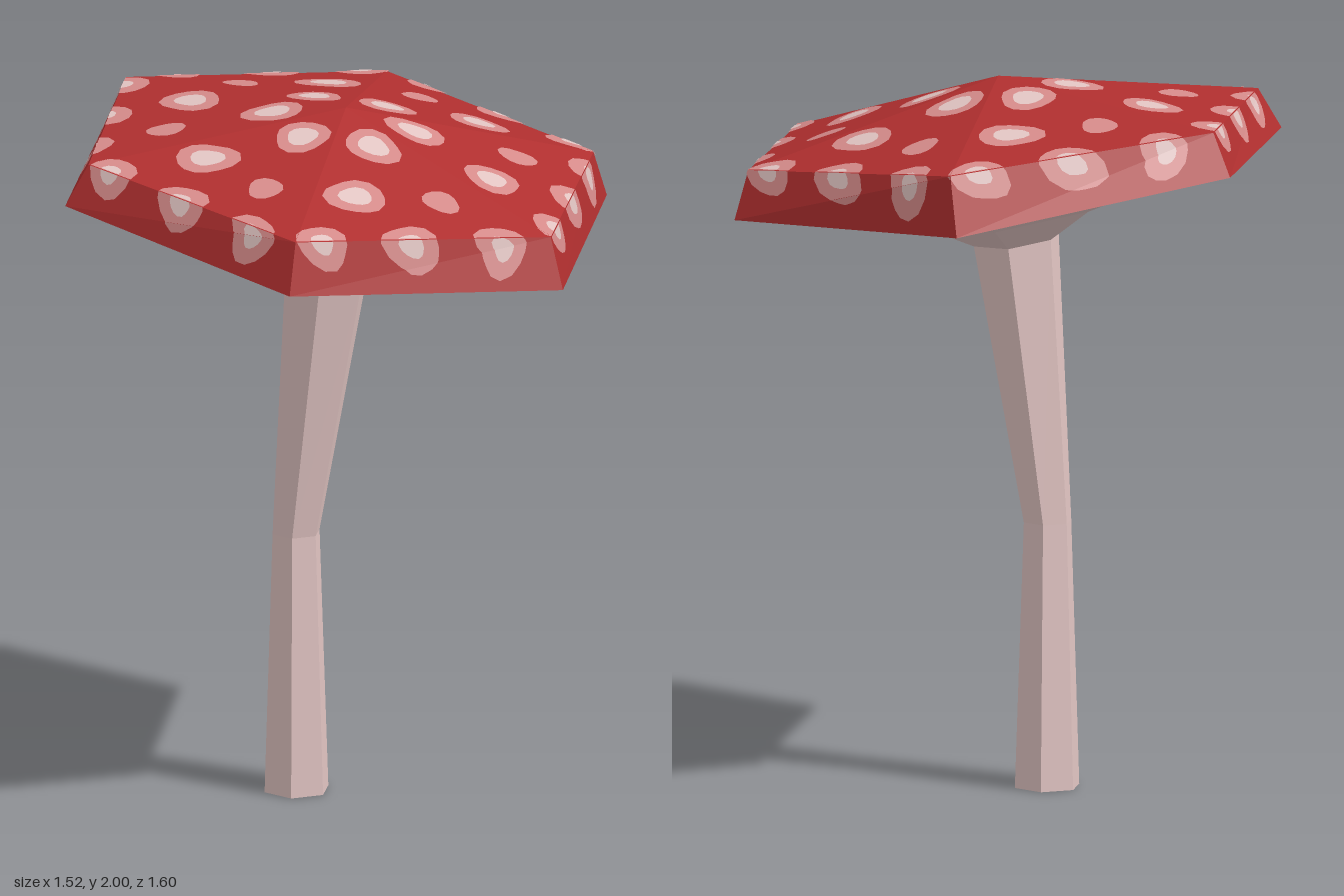
import * as THREE from 'three';

const V = (x, y, z) => new THREE.Vector3(x, y, z);
const mat = (name, color, side = THREE.FrontSide) => {
  const m = new THREE.MeshStandardMaterial({ color, side, flatShading: true });
  m.name = name;
  return m;
};

// Tilted six-sided cap: apex, upper rim and lower rim corners
const apex = V(0.01, 2, 0.03);
const upper = [V(-0.12, 1.94, -0.74), V(0.61, 1.87, -0.47), V(0.71, 1.785, 0.28),
  V(0.125, 1.765, 0.755), V(-0.59, 1.835, 0.49), V(-0.7, 1.915, -0.25)];
const lower = [V(-0.13, 1.82, -0.8), V(0.63, 1.705, -0.52), V(0.76, 1.65, 0.28),
  V(0.13, 1.62, 0.8), V(-0.63, 1.69, 0.51), V(-0.76, 1.8, -0.28)];

// Flattened cap, used to lay out the spots: a regular hexagon with its sides folded out
const turn = (x, z, k) => {
  const a = k * Math.PI / 3, c = Math.cos(a), s = Math.sin(a);
  return new THREE.Vector2(x * c - z * s, x * s + z * c);
};
const faces = [];
for (let i = 0; i < 6; i++) {
  const j = (i + 1) % 6;
  const flat = (k, s) => turn(-0.13 * s, -0.765 * s, k);
  const ui = flat(i, 1), uj = flat(j, 1), li = flat(i, 1.22), lj = flat(j, 1.22);
  faces.push(
    { flat: [new THREE.Vector2(), uj, ui], solid: [apex, upper[j], upper[i]] },
    { flat: [ui, uj, lj], solid: [upper[i], upper[j], lower[j]] },
    { flat: [ui, lj, li], solid: [upper[i], lower[j], lower[i]] });
}

function meshFrom(name, points, material) {
  const g = new THREE.BufferGeometry().setFromPoints(points);
  g.computeVertexNormals();
  const m = new THREE.Mesh(g, material);
  m.name = name;
  return m;
}

// Wall between two rings of corners, running from the upper ring to the lower one
function wall(top, bottom) {
  const out = [];
  top.forEach((p, i) => {
    const j = (i + 1) % top.length;
    out.push(p, top[j], bottom[j], p, bottom[j], bottom[i]);
  });
  return out;
}

// Cut a flat polygon to the inside of a triangle
const side = (a, b, p) => (b.y - a.y) * (p.x - a.x) - (b.x - a.x) * (p.y - a.y);
function clip(poly, tri) {
  for (let e = 0; e < 3; e++) {
    const a = tri[e], b = tri[(e + 1) % 3], out = [];
    poly.forEach((p, i) => {
      const q = poly[(i + 1) % poly.length], sp = side(a, b, p), sq = side(a, b, q);
      if (sp >= 0) out.push(p);
      if (sp * sq < 0) out.push(p.clone().lerp(q, sp / (sp - sq)));
    });
    poly = out;
  }
  return poly;
}

// Fold a flat spot over the cap faces, lifted slightly off the surface
function foldSpot(poly, lift, out) {
  for (const { flat: [a, b, c], solid: [A, B, C] } of faces) {
    const part = clip(poly, [a, b, c]);
    if (part.length < 3) continue;
    const n = B.clone().sub(A).cross(C.clone().sub(A)).normalize();
    const area = side(a, b, c);
    const pts = part.map((p) => A.clone().multiplyScalar(side(b, c, p) / area)
      .addScaledVector(B, side(c, a, p) / area)
      .addScaledVector(C, side(a, b, p) / area)
      .addScaledVector(n, lift));
    for (let i = 1; i < pts.length - 1; i++) out.push(pts[0], pts[i], pts[i + 1]);
  }
}

// Slightly uneven round outline
function blob(center, r, seed) {
  return Array.from({ length: 14 }, (_, i) => {
    const t = i / 14 * Math.PI * 2;
    const k = r * (1 + 0.09 * Math.sin(2 * t + seed) + 0.07 * Math.sin(3 * t + seed * 2.3));
    return new THREE.Vector2(center.x + k * Math.cos(t), center.y - k * Math.sin(t));
  });
}

// Hexagon aligned with the cap
const hexRing = (x, y, z, r) => lower.map((_, i) => {
  const p = turn(-0.16 * r, -0.987 * r, i);
  return V(x + p.x, y, z + p.y);
});

export function createModel() {
  const red = mat('cap red', 0xb02f2f);
  const pink = mat('spot pink', 0xd68b8a);
  const pale = mat('pale pink', 0xe2c5c3);
  const stemColor = mat('stem pink', 0xe2c5c3, THREE.DoubleSide);
  const lipColor = mat('underside pink', 0xc68c8c);
  const bandColor = mat('underside rose', 0xbc7474);

  const model = new THREE.Group();
  model.name = 'mushroom';

  // Cap top and sides
  model.add(meshFrom('cap', faces.flatMap((f) => f.solid), red));

  // Spots: one sixth of the pattern as [x, z, radius, centre radius], turned six times
  const spots = [[0.06, -0.195, 0.083, 0.047], [0.28, -0.38, 0.087, 0.047],
    [0.06, -0.5, 0.054, 0], [0.28, -0.63, 0.083, 0.036],
    [0.025, -0.74, 0.08, 0.034], [0.525, -0.525, 0.076, 0.033]];
  const outer = [], inner = [];
  for (let k = 0; k < 6; k++) {
    spots.forEach(([x, z, r, ri], s) => {
      const c = turn(x, z, k), seed = k * 1.7 + s * 2.9;
      foldSpot(blob(c, r, seed), 0.003, outer);
      if (ri) foldSpot(blob(c, ri, seed), 0.005, inner);
    });
  }
  model.add(meshFrom('spots', outer, pink), meshFrom('spotCentres', inner, pale));

  // Underside: rings shrinking toward the stem while dropping along the tilted axis
  const ring = (t, d) => lower.map((p) => V(0, 1.72, 0).lerp(p, t)
    .add(V(-0.07 * d, -d, -0.115 * d)));
  const under = new THREE.Group();
  under.name = 'underside';
  const rings = [ring(1, 0), ring(0.82, 0.015), ring(0.69, 0.028), ring(0.56, 0.047),
    ring(0.34, 0.1), ring(0.155, 0.18)];
  const bands = [['lip', lipColor], ['roseBand', bandColor], ['gills', pale],
    ['innerGills', pale], ['gillFlare', pale]];
  bands.forEach(([name, m], i) => under.add(meshFrom(name, wall(rings[i], rings[i + 1]), m)));
  model.add(under);

  // Bent hexagonal stem, hollow and open at the foot
  const middle = hexRing(-0.055, 0.75, -0.105, 0.07);
  const foot = hexRing(-0.049, 0, -0.11, 0.095);
  model.add(meshFrom('stem', [...wall(rings[5], middle), ...wall(middle, foot)], stemColor));

  return model;
}
